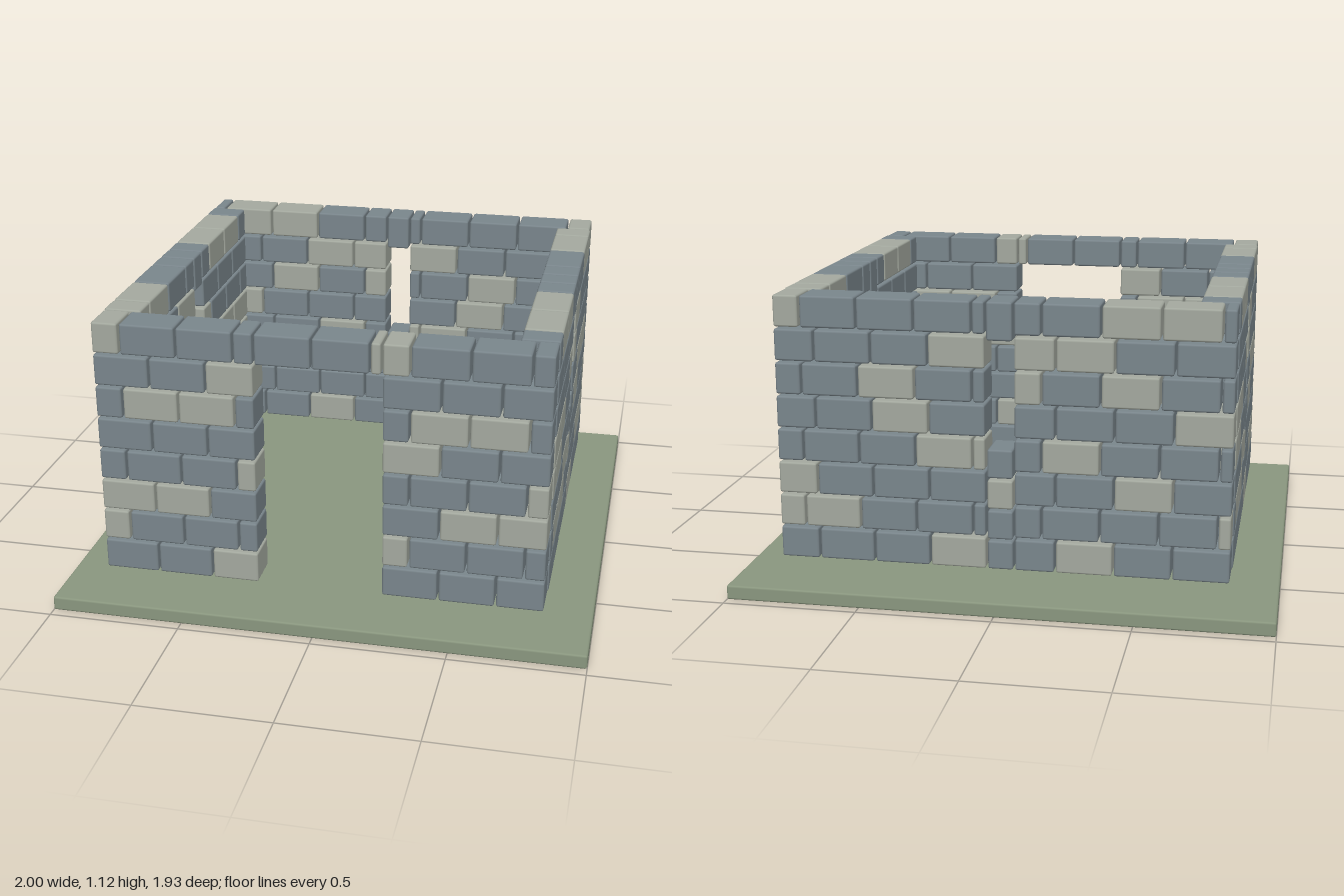
import * as THREE from 'three';
import { RoundedBoxGeometry } from 'three/addons/geometries/RoundedBoxGeometry.js';

const Y0 = 0.13, PITCH = 0.1241, GAP = 0.008, THICK = 0.14;
const CENTRE = 0.76; // distance of each wall's centre line from the middle

export function createModel() {
  const model = new THREE.Group();
  model.name = 'stoneHouse';
  const material = (name, color) => {
    const m = new THREE.MeshStandardMaterial({ color });
    m.name = name;
    return m;
  };
  const stone = {
    D: material('blueGreyStone', 0x7a868c),
    L: material('paleStone', 0xa4a99f),
  };
  const grass = material('mossGreen', 0x8a977f);

  // Ground slab
  const base = new THREE.Mesh(new RoundedBoxGeometry(2, 0.055, 1.93, 1, 0.008), grass);
  base.name = 'groundSlab';
  base.position.y = 0.0275;
  model.add(base);

  // One bevelled brick, spanning a..b along the wall and y0..y1 in height
  function brick(wall, name, a, b, y0, y1, tone) {
    const g = new RoundedBoxGeometry(b - a - GAP, y1 - y0 - GAP, THICK, 1, 0.008);
    const mesh = new THREE.Mesh(g, stone[tone]);
    mesh.name = name;
    mesh.position.set((a + b) / 2, (y0 + y1) / 2, 0);
    wall.add(mesh);
  }

  // A stretch of bricks; odd courses and even courses use different lengths
  function stretch(wall, start, odd, even, courses) {
    courses.forEach((tones, row) => {
      let a = start;
      (row % 2 ? even : odd).forEach((len, i) => {
        brick(wall, 'brick', a, a + len, Y0 + row * PITCH, Y0 + (row + 1) * PITCH, tones[i]);
        a += len;
      });
    });
  }

  // Narrow column under a window slit, and the lintel stone above it
  function windowColumn(wall, tones) {
    const h = 0.1145, top = Y0 + 8 * PITCH;
    [...tones].forEach((t, i) => brick(wall, 'windowSill', -0.05, 0.05, Y0 + i * h, Y0 + (i + 1) * h, t));
    brick(wall, 'windowLintel', -0.05, 0.05, top - 0.147, top, 'D');
  }

  function makeWall(name, x, z, turn) {
    const wall = new THREE.Group();
    wall.name = name;
    wall.position.set(x, 0, z);
    wall.rotation.y = turn;
    model.add(wall);
    return wall;
  }

  // Front wall with the doorway
  const front = makeWall('frontWall', 0, CENTRE, 0);
  stretch(front, -0.83, [0.21, 0.21, 0.18], [0.105, 0.21, 0.21, 0.075],
    ['DDL', 'LDDD', 'LLD', 'DDDL', 'DDD', 'DLLD', 'DDL', 'LDDD']);
  stretch(front, 0.23, [0.21, 0.21, 0.18], [0.1, 0.21, 0.21, 0.08],
    ['DDD', 'LDDD', 'DLL', 'DDDL', 'LDD', 'DLLD', 'DDD', 'LDDD']);
  const top = Y0 + 8 * PITCH;
  [[-0.23, -0.022, 'D'], [-0.022, 0.188, 'D'], [0.188, 0.23, 'L']].forEach(([a, b, t]) =>
    brick(front, 'doorLintel', a, b, top - PITCH, top, t));

  // Back wall, laid from -x to +x
  const back = makeWall('backWall', 0, -CENTRE, 0);
  const backOdd = [0.21, 0.21, 0.21, 0.15];
  stretch(back, -0.83, backOdd, [0.05, 0.21, 0.21, 0.21, 0.1],
    ['DDLD', 'LDDDD', 'DLDD', 'DDDLD', 'LDDD', 'DDLDL', 'DDLL', 'DLLDD']);
  stretch(back, 0.05, backOdd, [0.05, 0.21, 0.21, 0.21, 0.1],
    ['LDDD', 'DDDLL', 'DDDL', 'LLDDD', 'DLDD', 'DDLDD', 'LDDD', 'DDDDL']);
  windowColumn(back, 'DDLD');

  // Side walls: the same layout turned half round, laid from +z on the +x side
  const sideOdd = [0.2117, 0.2117, 0.2116], sideEven = [0.105, 0.212, 0.212, 0.106];
  [['leftWall', 1], ['rightWall', -1]].forEach(([name, s]) => {
    const wall = makeWall(name, s * CENTRE, 0, s * Math.PI / 2);
    stretch(wall, -0.685, sideOdd, sideEven,
      ['DDD', 'DLLD', 'DDL', 'LLDD', 'LLD', 'DDDL', 'DDD', 'DLLD']);
    stretch(wall, 0.05, sideOdd, sideEven,
      ['LDD', 'DDLL', 'DDD', 'DLDD', 'DLL', 'LDDD', 'LDD', 'DDLL']);
    windowColumn(wall, 'DDLD');
  });

  return model;
}
